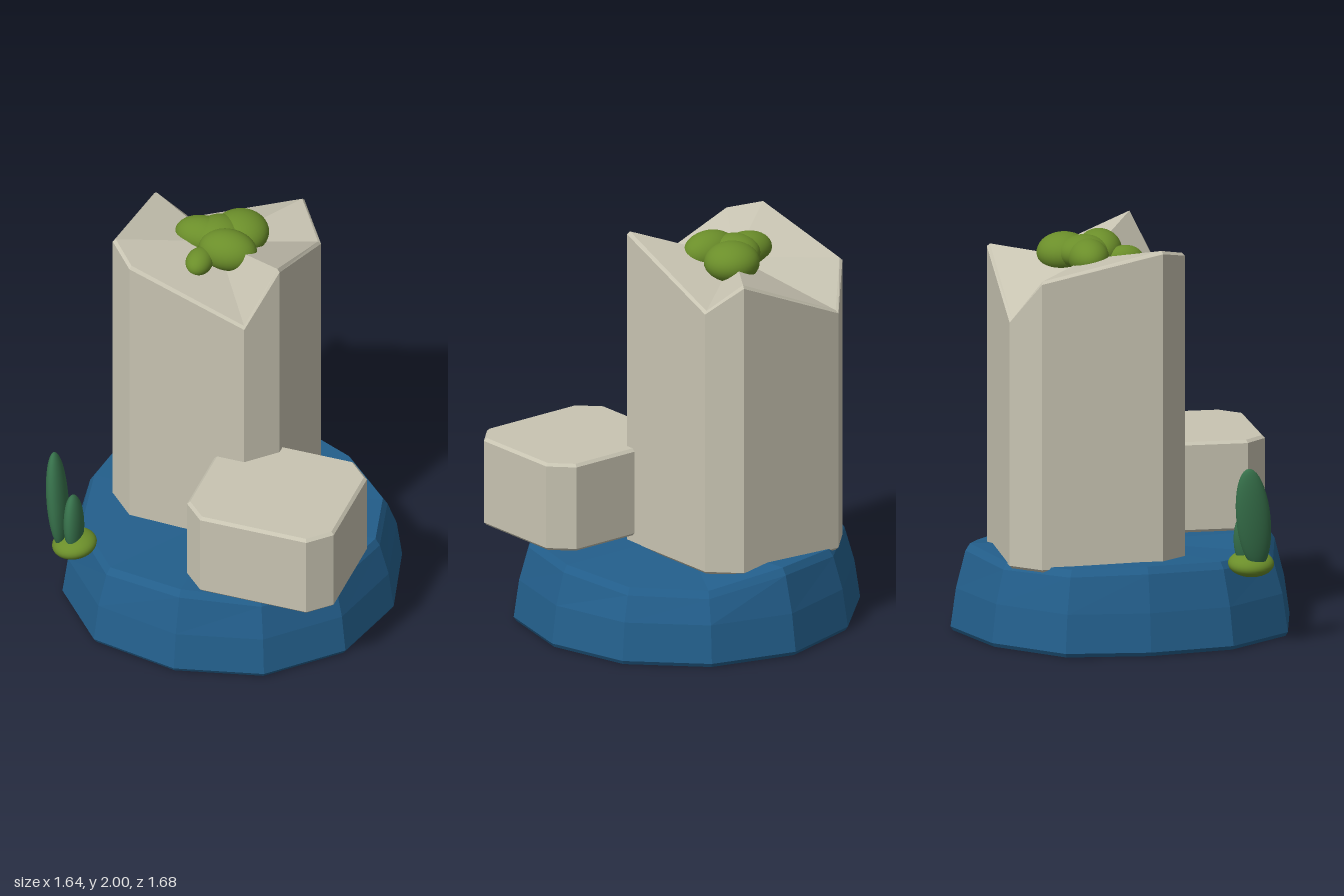
import * as THREE from 'three';

const mat = (name, color) => {
  const m = new THREE.MeshStandardMaterial({ color });
  m.name = name;
  return m;
};

// Joins cross-section loops (counterclockwise from above) and caps both ends with fans
function loft(rings, bottomCentre, topCentre) {
  const pos = [];
  const tri = (...pts) => pts.forEach((p) => pos.push(...p));
  const n = rings[0].length;
  const first = rings[0], last = rings[rings.length - 1];
  for (let i = 0; i < n; i++) {
    const j = (i + 1) % n;
    for (let r = 0; r < rings.length - 1; r++) {
      const lo = rings[r], up = rings[r + 1];
      tri(lo[i], lo[j], up[j]);
      tri(lo[i], up[j], up[i]);
    }
    tri(bottomCentre, first[j], first[i]);
    tri(topCentre, last[i], last[j]);
  }
  const g = new THREE.BufferGeometry();
  g.setAttribute('position', new THREE.Float32BufferAttribute(pos, 3));
  g.computeVertexNormals();
  return g;
}

// Rectangle with cut corners, starting at the front left; heights is a number or one per corner
function octagon([x0, x1, z0, z1], cut, inset, heights, drop = 0) {
  const a = x0 + inset, b = x1 - inset, c = z0 + inset, d = z1 - inset;
  const k = cut - inset * 0.586;
  return [
    [a + k, d], [b - k, d], [b, d - k], [b, c + k],
    [b - k, c], [a + k, c], [a, c + k], [a, d - k],
  ].map(([x, z], i) => [x, (Array.isArray(heights) ? heights[i] : heights) - drop, z]);
}

// Block with cut corners and a small bevel round both ends
function block(rect, cut, bottom, heights, topY) {
  const cx = (rect[0] + rect[1]) / 2, cz = (rect[2] + rect[3]) / 2, e = 0.014;
  return loft([
    octagon(rect, cut, e, bottom),
    octagon(rect, cut, 0, bottom + e),
    octagon(rect, cut, 0, heights, e),
    octagon(rect, cut, e, heights),
  ], [cx, bottom, cz], [cx, topY, cz]);
}

export function createModel() {
  const model = new THREE.Group();
  const blue = mat('blueBase', 0x235f8c);
  const stone = mat('paleStone', 0xc8c4b2);
  const leaf = mat('leafGreen', 0x6b8e2a);
  const cactus = mat('cactusGreen', 0x36704a);

  const add = (parent, name, geometry, material) => {
    const mesh = new THREE.Mesh(geometry, material);
    mesh.name = name;
    parent.add(mesh);
    return mesh;
  };

  // Faceted base: one outline scaled up the slope to an uneven rim
  const outline = [
    [-0.02, 0.84], [0.41, 0.735], [0.72, 0.42], [0.82, 0], [0.715, -0.416], [0.405, -0.725],
    [-0.025, -0.845], [-0.455, -0.72], [-0.78, -0.416], [-0.825, 0], [-0.745, 0.425], [-0.467, 0.747],
  ];
  const rim = [0.435, 0.41, 0.412, 0.407, 0.37, 0.365, 0.43, 0.41, 0.42, 0.43, 0.425, 0.412];
  const ring = (scale, y) => outline.map(([x, z], i) => [x * scale, y(rim[i]), z * scale]);
  add(model, 'base', loft([
    ring(0.985, () => 0),
    ring(1, () => 0.02),
    ring(0.968, () => 0.21),
    ring(0.912, (h) => h - 0.035),
    ring(0.885, (h) => h),
  ], [0, 0, 0], [0, 0.405, 0]), blue);

  // Tower with a jagged top, and the low block beside it
  const peaks = [1.93, 1.71, 2.0, 1.75, 1.89, 1.63, 1.84, 1.97];
  add(model, 'tower', block([-0.6, 0.265, -0.635, 0.237], 0.135, 0.39, peaks, 1.855), stone);
  add(model, 'lowBlock', block([-0.025, 0.735, 0.045, 0.737], 0.105, 0.44, 0.89, 0.89), stone);

  // Rounded plant parts
  const sphere = new THREE.SphereGeometry(1, 32, 20);
  const blob = (parent, name, material, position, size, tiltX = 0, tiltZ = 0) => {
    const mesh = add(parent, name, sphere, material);
    mesh.position.set(...position);
    mesh.scale.set(...size);
    mesh.rotation.set(tiltX, 0, tiltZ);
  };

  // Bush on the tower
  const bush = new THREE.Group();
  bush.name = 'roofBush';
  model.add(bush);
  [
    [[-0.075, 1.875, -0.29], [0.138, 0.1, 0.135]],
    [[-0.235, 1.88, -0.2], [0.145, 0.088, 0.1]],
    [[-0.16, 1.89, -0.21], [0.12, 0.085, 0.13]],
    [[-0.08, 1.885, -0.115], [0.147, 0.1, 0.108]],
    [[-0.19, 1.86, -0.01], [0.066, 0.062, 0.09]],
  ].forEach(([p, s]) => blob(bush, 'bushLobe', leaf, p, s));

  // Cactus pair growing from a low shrub at the base rim
  const plants = new THREE.Group();
  plants.name = 'rimPlants';
  model.add(plants);
  blob(plants, 'tallCactus', cactus, [-0.735, 0.65, 0.525], [0.048, 0.258, 0.085], -0.12, 0.12);
  blob(plants, 'shortCactus', cactus, [-0.65, 0.52, 0.525], [0.045, 0.162, 0.082], -0.08, 0.08);
  blob(plants, 'rimShrub', leaf, [-0.645, 0.408, 0.53], [0.11, 0.06, 0.113], 0, 0.15);

  return model;
}
